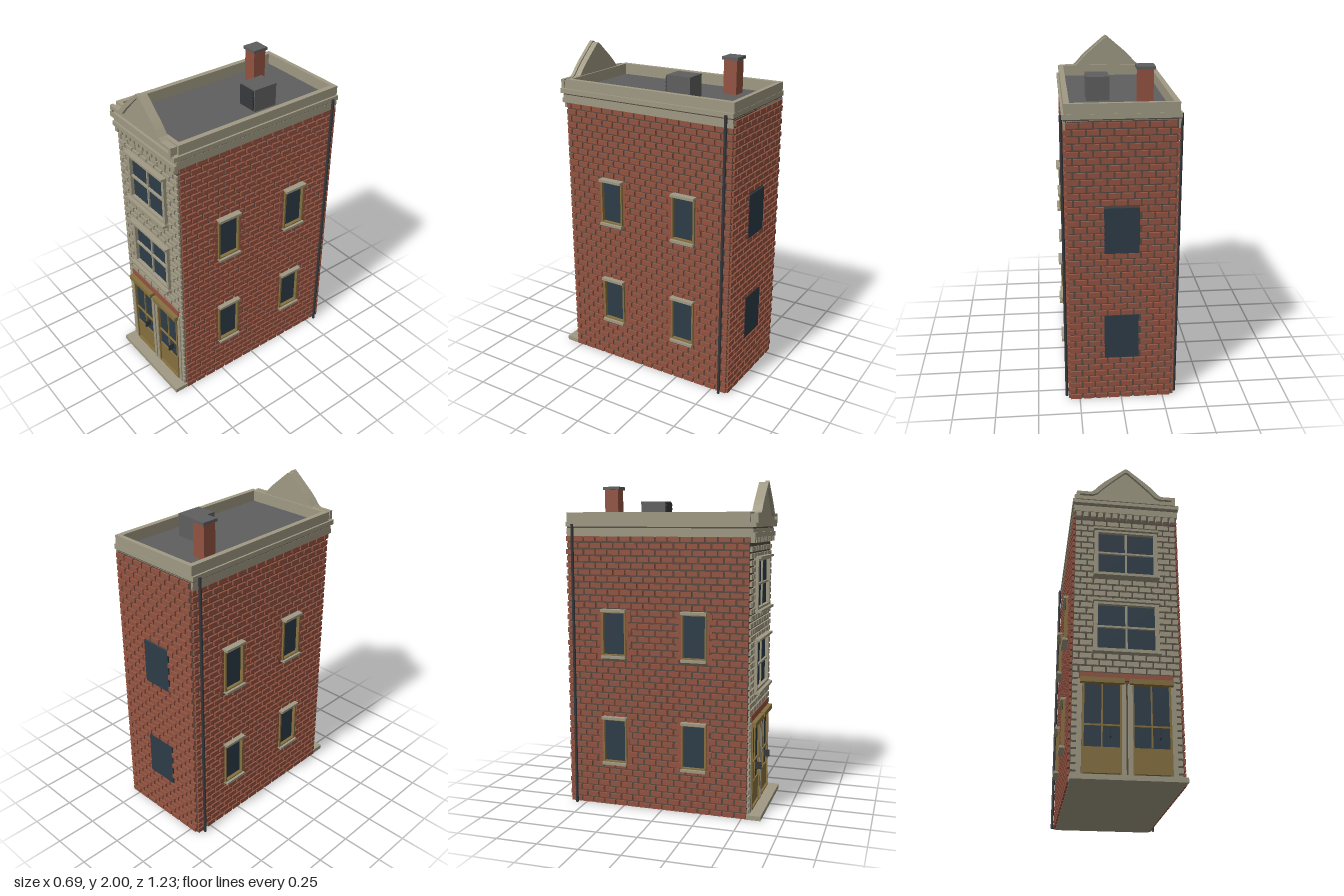
import * as THREE from 'three';
import { mergeGeometries } from 'three/addons/utils/BufferGeometryUtils.js';

const mat = (name, color) => {
  const m = new THREE.MeshStandardMaterial({ color });
  m.name = name;
  return m;
};

export function createModel() {
  const M = {
    stone: mat('stone', 0x9f9983),
    brick: mat('red brick', 0x935341),
    mortar: mat('mortar', 0x574a41),
    glass: mat('dark glass', 0x2d3c48),
    wood: mat('door wood', 0x87703f),
    roof: mat('roof grey', 0x5f5f5f),
    iron: mat('dark iron', 0x35383b),
  };
  const root = new THREE.Group();
  root.name = 'townhouse';

  const slab = (x0, x1, y0, y1, z0, z1) =>
    new THREE.BoxGeometry(x1 - x0, y1 - y0, z1 - z0).translate((x0 + x1) / 2, (y0 + y1) / 2, (z0 + z1) / 2);
  const add = (parent, name, geo, material) => {
    const m = new THREE.Mesh(geo, material);
    m.name = name;
    parent.add(m);
    return m;
  };
  const box = (parent, name, material, ...b) => add(parent, name, slab(...b), material);
  // Rectangular frame of four bars around an opening
  const frame = (parent, name, material, x0, x1, y0, y1, z0, z1, t) =>
    add(parent, name, mergeGeometries([
      slab(x0, x0 + t, y0, y1, z0, z1), slab(x1 - t, x1, y0, y1, z0, z1),
      slab(x0 + t, x1 - t, y0, y0 + t, z0, z1), slab(x0 + t, x1 - t, y1 - t, y1, z0, z1),
    ]), material);

  // Running-bond bricks on a local wall plane z = 0, cut around openings [x0, x1, y0, y1]
  const ROW = 0.04, PITCH = 0.076, GAP = 0.011;
  function brickwork(parent, name, material, x0, x1, y0, y1, openings) {
    const parts = [];
    for (let r = 0, y = y0; y < y1 - 0.012; r++, y = y0 + r * ROW) {
      const top = Math.min(y + ROW - GAP, y1);
      for (let x = x0 - (r % 2) * PITCH / 2; x < x1; x += PITCH) {
        let a = Math.max(x, x0), b = Math.min(x + PITCH - GAP, x1);
        for (const [p, q, s, t] of openings) {
          if (top <= s + 0.01 || y >= t - 0.01 || b <= p || a >= q) continue;
          if (a < p) b = p;
          else if (b > q) a = q;
          else b = a;
        }
        if (b - a > 0.008) parts.push(slab(a, b, y, top, -0.002, 0.012));
      }
    }
    return add(parent, name, mergeGeometries(parts), material);
  }
  const wall = (name, rotation, x, z) => {
    const g = new THREE.Group();
    g.name = name;
    g.rotation.y = rotation;
    g.position.set(x, 0, z);
    root.add(g);
    return g;
  };

  // Core of the building, floor and step
  box(root, 'wallCore', M.mortar, -0.304, 0.304, 0.004, 1.72, -0.6, 0.53);
  box(root, 'floorSlab', M.stone, -0.304, 0.304, 0, 0.004, -0.6, 0.53);
  box(root, 'frontStep', M.stone, -0.31, 0.31, 0, 0.028, 0.53, 0.617);

  // Side walls with four narrow windows each
  const storeys = [[0.28, 0.56], [0.95, 1.225]];
  for (const s of [1, -1]) {
    const g = wall(s > 0 ? 'leftWall' : 'rightWall', s * Math.PI / 2, s * 0.304, 0);
    const u0 = s > 0 ? -0.53 : -0.6, u1 = s > 0 ? 0.6 : 0.53;
    const openings = [];
    for (const z of [0.207, -0.298]) for (const [b, t] of storeys) {
      const c = -s * z;
      openings.push([c - 0.08, c + 0.08, b - 0.01, t + 0.01]);
      box(g, 'sideGlass', M.glass, c - 0.07, c + 0.07, b, t, 0, 0.005);
      frame(g, 'sideWindowFrame', M.wood, c - 0.078, c + 0.078, b, t, 0, 0.027, 0.011);
      box(g, 'sideSill', M.stone, c - 0.078, c + 0.078, b - 0.012, b + 0.004, 0, 0.043);
      box(g, 'sideLintel', M.stone, c - 0.078, c + 0.078, t - 0.004, t + 0.012, 0, 0.043);
      // Toothed brick surround
      const teeth = [];
      for (let i = 0; i < 7; i++) {
        const w = i % 2 ? 0.016 : 0.03, y = b + i * ROW;
        teeth.push(slab(c - 0.078 - w, c - 0.078, y, y + 0.036, 0, 0.015),
          slab(c + 0.078, c + 0.078 + w, y, y + 0.036, 0, 0.015));
      }
      add(g, 'brickSurround', mergeGeometries(teeth), M.brick);
    }
    brickwork(g, 'sideBricks', M.brick, u0, u1, 0.004, 1.675, openings);
    // Rainwater pipe
    add(root, 'downpipe', new THREE.CylinderGeometry(0.009, 0.009, 1.745, 10)
      .translate(s * 0.328, 0.8725, -0.56), M.iron);
  }

  // Back wall with flush windows
  const back = wall('backWall', Math.PI, 0, -0.6);
  for (const [b, t] of storeys) box(back, 'backGlass', M.glass, -0.1, 0.1, b, t, 0, 0.009);
  brickwork(back, 'backBricks', M.brick, -0.304, 0.304, 0.004, 1.735,
    storeys.map(([b, t]) => [-0.1, 0.1, b, t]));

  // Front wall
  const front = wall('frontWall', 0, 0, 0.53);
  const frontWindows = [[0.76, 1.055], [1.25, 1.54]];
  brickwork(front, 'frontBricks', M.stone, -0.3, 0.3, 0.03, 1.635,
    [[-0.265, 0.265, 0, 0.625], ...frontWindows.map(([b, t]) => [-0.19, 0.19, b - 0.015, t + 0.015])]);
  for (const [b, t] of frontWindows) {
    const m = (b + t) / 2;
    box(front, 'frontGlass', M.glass, -0.17, 0.17, b, t, 0, 0.006);
    frame(front, 'frontWindowFrame', M.stone, -0.188, 0.188, b - 0.012, t + 0.014, 0, 0.028, 0.022);
    box(front, 'verticalBar', M.stone, -0.006, 0.006, b, t, 0, 0.016);
    box(front, 'crossBar', M.stone, -0.17, 0.17, m - 0.006, m + 0.006, 0, 0.02);
    box(front, 'frontSill', M.stone, -0.195, 0.195, b - 0.02, b - 0.004, 0, 0.05);
    box(front, 'frontLintel', M.stone, -0.195, 0.195, t + 0.006, t + 0.02, 0, 0.046);
  }

  // Shopfront: two glazed doors between stone posts
  box(front, 'doorLintel', M.brick, -0.262, 0.262, 0.582, 0.623, 0, 0.014);
  for (const s of [1, -1]) {
    const c = s * 0.136;
    box(front, 'sidePost', M.stone, s * 0.259 - 0.013, s * 0.259 + 0.013, 0.028, 0.582, 0, 0.016);
    box(front, 'centrePost', M.stone, s * 0.018 - 0.012, s * 0.018 + 0.012, 0.028, 0.56, 0, 0.024);
    box(front, 'doorGlass', M.glass, c - 0.1, c + 0.1, 0.2, 0.56, 0, 0.006);
    box(front, 'doorPanel', M.wood, c - 0.098, c + 0.098, 0.055, 0.198, 0, 0.014);
    frame(front, 'doorFrame', M.wood, c - 0.108, c + 0.108, 0.035, 0.568, 0, 0.022, 0.01);
    box(front, 'doorMullion', M.wood, c - 0.004, c + 0.004, 0.2, 0.56, 0, 0.014);
    box(front, 'doorRail', M.wood, c - 0.1, c + 0.1, 0.315, 0.325, 0, 0.016);
    box(front, 'doorCornice', M.wood, c - 0.122, c + 0.122, 0.555, 0.585, 0, 0.042);
    box(front, 'doorHandle', M.iron, c + 0.041, c + 0.047, 0.25, 0.295, 0, 0.045);
  }

  // Dentil course under the cornice
  const dentils = [];
  for (let i = 0; i < 14; i++) {
    const x = -0.286 + i * 0.044;
    dentils.push(slab(x - 0.014, x + 0.014, 1.64, 1.672, 0, 0.028));
  }
  add(front, 'dentils', mergeGeometries(dentils), M.stone);

  // Cornice bands wrapping front and sides
  const band = (name, hx, y0, y1, zf) => box(root, name, M.stone, -hx, hx, y0, y1, -0.6, zf);
  band('lowerCornice', 0.314, 1.672, 1.7, 0.562);
  band('corniceNeck', 0.318, 1.7, 1.722, 0.55);
  box(root, 'corniceShadowLine', M.mortar, -0.316, 0.316, 1.722, 1.73, -0.598, 0.546);
  box(root, 'roofDeck', M.roof, -0.285, 0.285, 1.73, 1.748, -0.58, 0.51);

  // Hollow parapet made of four walls
  const parapet = (name, hx, y0, y1, zb, zf) => {
    const g = [slab(-hx, hx, y0, y1, zb, -0.575), slab(-hx, hx, y0, y1, 0.505, zf)];
    for (const s of [1, -1]) {
      const a = s * 0.28, b = s * hx;
      g.push(slab(Math.min(a, b), Math.max(a, b), y0, y1, -0.575, 0.505));
    }
    add(root, name, mergeGeometries(g), M.stone);
  };
  parapet('upperCornice', 0.324, 1.73, 1.758, -0.604, 0.568);
  parapet('parapet', 0.312, 1.758, 1.815, -0.602, 0.53);

  // Curved gable with raised coping
  const outline = (d) => {
    const half = [[0.303 - d, 1.752 + d], [0.303 - d, 1.81 - d], [0.215 - d * 0.5, 1.81 - d],
      [0.195 - d, 1.825 - d], [0.165 - d, 1.86 - d], [0.135 - d, 1.89 - d], [0.07 - d * 0.6, 1.945 - d],
      [0.012, 1.994 - d * 1.3], [0, 2 - d * 1.3]];
    const left = half.slice(0, -1).reverse().map(([x, y]) => [-x, y]);
    return [...half, ...left].map(([x, y]) => new THREE.Vector2(x, y));
  };
  const extrude = (shape, z, depth) =>
    new THREE.ExtrudeGeometry(shape, { depth, bevelEnabled: false }).translate(0, 0, z);
  add(root, 'gable', extrude(new THREE.Shape(outline(0.006)), 0.515, 0.043), M.stone);
  const coping = new THREE.Shape(outline(0));
  coping.holes.push(new THREE.Path(outline(0.02).reverse()));
  add(root, 'gableCoping', extrude(coping, 0.553, 0.022), M.stone);

  // Chimney
  box(root, 'chimney', M.brick, -0.193, -0.108, 1.74, 1.95, -0.397, -0.312);
  box(root, 'chimneyCap', M.roof, -0.202, -0.099, 1.95, 1.968, -0.406, -0.303);

  // Roof vent unit with a dark louvred front
  box(root, 'ventUnit', M.roof, 0.04, 0.172, 1.74, 1.885, -0.248, -0.09);
  box(root, 'ventGrille', M.iron, 0.046, 0.166, 1.755, 1.878, -0.09, -0.085);
  for (let i = 0; i < 5; i++) {
    const y = 1.765 + i * 0.023;
    box(root, 'ventLouvre', M.iron, 0.05, 0.162, y, y + 0.01, -0.086, -0.08);
  }
  return root;
}
